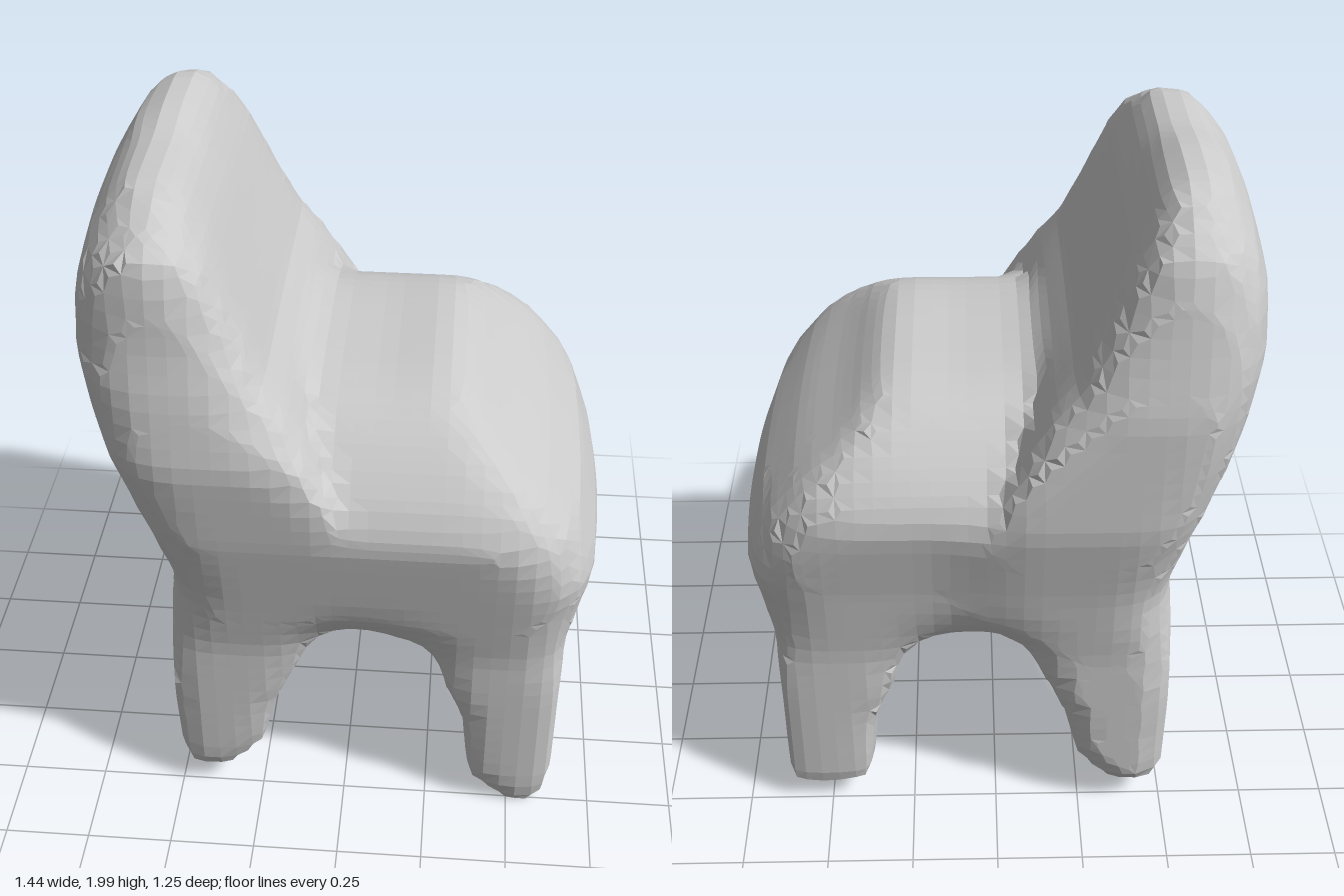
import * as THREE from 'three';

const smooth = THREE.MathUtils.smoothstep;

// Outline across the seat (x, y): rear leg, arch, front leg, seat, backrest
const FRONT = [
  [-.5, .09], [-.42, .05], [-.33, .08], [-.24, .18], [-.2, .35], [-.13, .5], [-.07, .6],
  [0, .635], [.1, .63], [.2, .6], [.27, .53], [.3, .43], [.35, .33], [.37, .09],
  [.53, -.04], [.59, -.02], [.635, .09], [.635, .35], [.64, .62], [.73, .87], [.66, 1.05],
  [.55, 1.17], [.42, 1.27], [.28, 1.4], [.1, 1.38], [-.07, 1.39],
  [-.2, 1.5], [-.27, 1.67], [-.33, 1.83], [-.41, 1.99], [-.5, 2.03], [-.59, 1.99],
  [-.67, 1.84], [-.715, 1.7], [-.725, 1.55], [-.675, 1.3], [-.59, 1.05], [-.51, .8], [-.51, .4],
];
// Outline along the seat (z, y): back foot, arch, front foot, front side, top, back side
const SIDE = [
  [-.55, .06], [-.45, .04], [-.34, .08], [-.26, .2], [-.18, .35], [-.09, .42], [0, .355],
  [.17, .35], [.24, .25], [.27, .19], [.36, .13], [.42, .08], [.43, -.1], [.53, -.1],
  [.53, .6], [.58, .9], [.605, 1.05], [.625, 1.3], [.59, 1.5], [.56, 1.62], [.535, 1.86],
  [.3, 2.02], [.05, 2.02], [-.1, 2.07], [-.36, 2.07], [-.53, 1.86], [-.57, 1.65],
  [-.615, 1.45], [-.625, 1.1], [-.58, .85], [-.55, .6],
];

// Signed distance to a closed outline, negative inside
function outlineDistance(points, x, y) {
  let best = Infinity, inside = false;
  points.forEach(([ax, ay], i) => {
    const [bx, by] = points[(i + 1) % points.length];
    const ex = bx - ax, ey = by - ay;
    const t = THREE.MathUtils.clamp(((x - ax) * ex + (y - ay) * ey) / (ex * ex + ey * ey), 0, 1);
    best = Math.min(best, Math.hypot(x - ax - t * ex, y - ay - t * ey));
    if ((ay > y) !== (by > y) && x < ax + ex * (y - ay) / ey) inside = !inside;
  });
  return inside ? -best : best;
}

// Intersection with an edge rounded over k
function roundedMax(a, b, k) {
  const h = Math.max(k - Math.abs(a - b), 0) / k;
  return Math.max(a, b) + h * h * k / 4;
}

// Solid of the whole chair, negative inside
function chairField([x, y, z]) {
  const bulge = 1 + .25 * z * z * smooth(y, .6, .9);
  const narrow = 1 + .06 * smooth(x, -.1, .2) * smooth(-z, 0, .3);
  const across = outlineDistance(FRONT, x * bulge, y);
  const along = outlineDistance(SIDE, z * narrow, y);
  const body = roundedMax(across, along, .07 + .12 * smooth(y, .4, .8));
  // crowned seat, leaving the backrest uncut
  const crown = .8 * (y - 1.4 + .28 * Math.abs(z / .6) ** 3);
  const behind = .9 * (x + .1 + (y - 1.35) * .5);
  return roundedMax(body, Math.min(crown, behind), .06);
}

// Skin over a solid: one vertex per crossed cell, one quad per crossed grid edge
function skin(field, min, size, cell) {
  const count = size.map(s => Math.ceil(s / cell) + 1);
  const stride = [1, count[0], count[0] * count[1]];
  const total = stride[2] * count[2];
  const gridOf = i => [i % count[0], Math.floor(i / stride[1]) % count[1], Math.floor(i / stride[2])];
  const values = new Float32Array(total);
  for (let i = 0; i < total; i++) values[i] = field(gridOf(i).map((g, d) => min[d] + g * cell));

  const positions = [], index = [], vertexOf = new Map();
  for (let i = 0; i < total; i++) {
    const grid = gridOf(i);
    if (grid.some((g, d) => g === count[d] - 1)) continue;
    const sum = [0, 0, 0];
    let hits = 0;
    for (let corner = 0; corner < 8; corner++) {
      const bits = [corner & 1, corner >> 1 & 1, corner >> 2];
      const a = i + bits[0] + bits[1] * stride[1] + bits[2] * stride[2];
      for (let d = 0; d < 3; d++) {
        if (bits[d]) continue;
        const va = values[a], vb = values[a + stride[d]];
        if (va < 0 === vb < 0) continue;
        bits.forEach((b, k) => { sum[k] += b + (k === d ? va / (va - vb) : 0); });
        hits++;
      }
    }
    if (!hits) continue;
    vertexOf.set(i, positions.length / 3);
    const p = sum.map((s, d) => min[d] + (grid[d] + s / hits) * cell);
    positions.push(p[0], Math.max(p[1], 0), p[2]);
  }
  for (let i = 0; i < total; i++) {
    for (let d = 0; d < 3; d++) {
      const inside = values[i] < 0;
      if (gridOf(i)[d] === count[d] - 1 || inside === values[i + stride[d]] < 0) continue;
      const u = stride[(d + 1) % 3], v = stride[(d + 2) % 3];
      const quad = [i - u - v, i - v, i, i - u].map(c => vertexOf.get(c));
      if (!inside) quad.reverse();
      index.push(quad[0], quad[1], quad[2], quad[0], quad[2], quad[3]);
    }
  }
  const geometry = new THREE.BufferGeometry();
  geometry.setAttribute('position', new THREE.Float32BufferAttribute(positions, 3));
  geometry.setIndex(index);
  geometry.computeVertexNormals();
  return geometry;
}

export function createModel() {
  const group = new THREE.Group();
  group.name = 'chair';
  const material = new THREE.MeshStandardMaterial({ color: 0xcccccc, flatShading: true });
  // seat, backrest and legs flow into one shell
  const shell = new THREE.Mesh(skin(chairField, [-.9, -.2, -.8], [1.8, 2.4, 1.6], .05), material);
  shell.name = 'chairShell';
  group.add(shell);
  return group;
}
